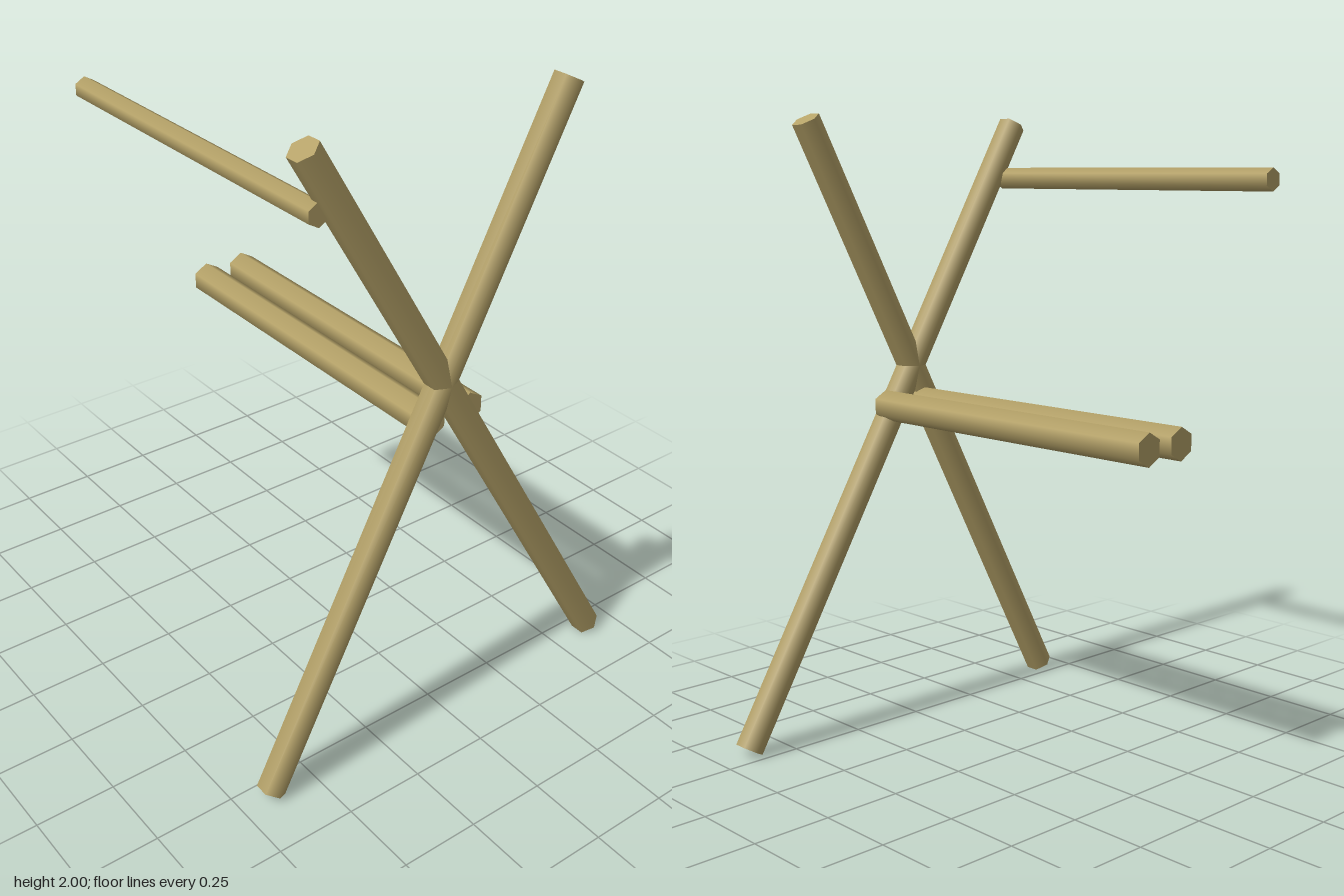
import * as THREE from 'three';

const UP = new THREE.Vector3(0, 1, 0);

export function createModel() {
  const group = new THREE.Group();
  const wood = new THREE.MeshStandardMaterial({ color: 0xb5a268 });
  wood.name = 'wood';

  // Six-sided pole running between two points
  function pole(name, radius, from, to) {
    const a = new THREE.Vector3(...from);
    const b = new THREE.Vector3(...to);
    const dir = b.clone().sub(a);
    const mesh = new THREE.Mesh(new THREE.CylinderGeometry(radius, radius, dir.length(), 6), wood);
    mesh.name = name;
    mesh.position.copy(a).add(b).multiplyScalar(0.5);
    mesh.quaternion.setFromUnitVectors(UP, dir.normalize());
    group.add(mesh);
  }

  // Crossed front poles
  const front = 0.555, back = -0.6;
  pole('longCrossPole', 0.045, [0.641, 0.02, front], [-0.508, 1.981, front]);
  pole('shortCrossPole', 0.045, [-0.645, 0.019, front], [0.366, 1.981, front]);

  // Horizontal beams running back from the frame
  pole('leftBeam', 0.05, [0.067, 1.063, front], [0.067, 1.063, back]);
  pole('rightBeam', 0.05, [-0.07, 1.063, front], [-0.07, 1.063, back]);
  pole('upperRail', 0.035, [-0.462, 1.8, front], [-0.462, 1.8, back]);

  return group;
}
